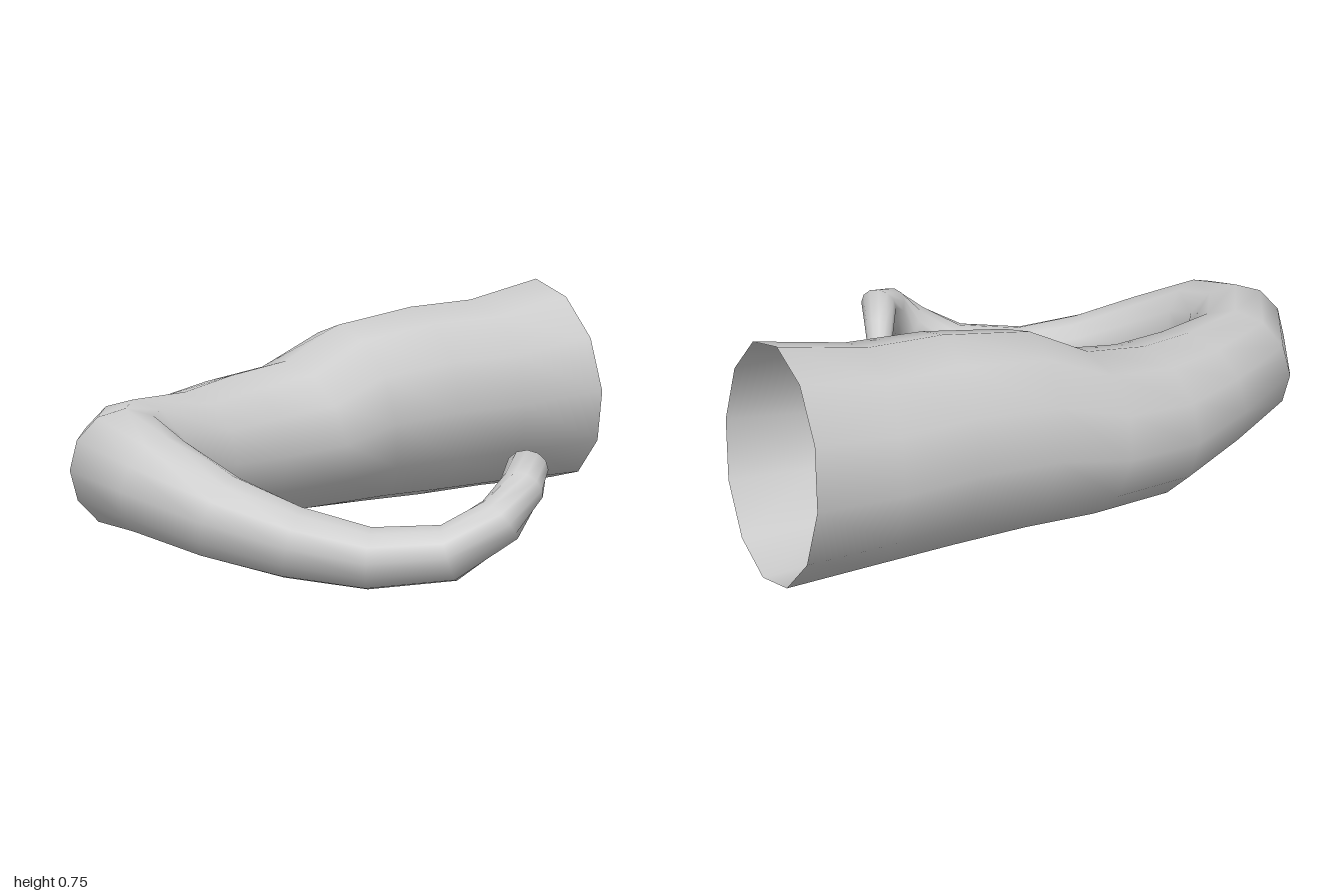
import * as THREE from 'three';

const SIDES = 12;

// Rings from the open root to the tip:
// outer edge x, z, inner edge x, z, centre height, vertical radius
const RINGS = [
  [0.93, -0.89, 0.97, -0.17, 0.393, 0.355],
  [0.65, -0.83, 0.67, -0.165, 0.365, 0.325],
  [0.40, -0.77, 0.42, -0.16, 0.357, 0.323],
  [0.13, -0.725, 0.18, -0.155, 0.335, 0.305],
  [-0.12, -0.685, 0.0, -0.15, 0.28, 0.253],
  [-0.38, -0.615, -0.22, -0.13, 0.262, 0.238],
  [-0.62, -0.46, -0.43, -0.05, 0.265, 0.208],
  [-0.87, -0.285, -0.62, 0.0, 0.282, 0.195],
  [-1.0, 0.0, -0.675, 0.09, 0.298, 0.184],
  [-0.95, 0.285, -0.675, 0.2, 0.275, 0.155],
  [-0.78, 0.49, -0.6, 0.34, 0.202, 0.13],
  [-0.58, 0.63, -0.46, 0.465, 0.135, 0.108],
  [-0.38, 0.74, -0.28, 0.59, 0.092, 0.092],
  [-0.17, 0.84, -0.08, 0.695, 0.108, 0.085],
  [0.01, 0.885, 0.03, 0.735, 0.2, 0.075],
  [0.14, 0.845, 0.07, 0.73, 0.285, 0.066],
  [0.21, 0.76, 0.12, 0.665, 0.325, 0.055],
  [0.245, 0.63, 0.155, 0.595, 0.285, 0.046],
  [0.285, 0.45, 0.245, 0.43, 0.137, 0.022],
];

export function createModel() {
  const group = new THREE.Group();
  const material = new THREE.MeshStandardMaterial({ color: 0xcccccc, side: THREE.DoubleSide });
  const centres = RINGS.map(([ox, oz, ix, iz, y]) => new THREE.Vector3((ox + ix) / 2, y, (oz + iz) / 2));
  const last = RINGS.length - 1;

  // Elliptical cross-sections, each standing square to the spine
  const points = [];
  RINGS.forEach(([ox, oz, ix, iz, , radius], i) => {
    const tangent = centres[Math.min(i + 1, last)].clone().sub(centres[Math.max(i - 1, 0)]);
    const across = new THREE.Vector3((ox - ix) / 2, 0, (oz - iz) / 2);
    const up = across.clone().cross(tangent).setLength(radius);
    for (let j = 0; j < SIDES; j++) {
      const a = (j / SIDES) * Math.PI * 2;
      points.push(centres[i].clone().addScaledVector(across, Math.cos(a)).addScaledVector(up, Math.sin(a)));
    }
  });

  // Skin between neighbouring rings
  const index = [];
  for (let i = 0; i < last; i++) {
    for (let j = 0; j < SIDES; j++) {
      const k = (j + 1) % SIDES;
      const a = i * SIDES + j, b = a + SIDES, c = i * SIDES + k, d = c + SIDES;
      index.push(a, b, c, c, b, d);
    }
  }
  const skin = new THREE.BufferGeometry().setFromPoints(points);
  skin.setIndex(index);
  skin.computeVertexNormals();
  const tentacle = new THREE.Mesh(skin, material);
  tentacle.name = 'tentacle';
  group.add(tentacle);

  // Small flat cap closing the tip
  const capIndex = [];
  for (let j = 1; j < SIDES - 1; j++) capIndex.push(0, j + 1, j);
  const cap = new THREE.BufferGeometry().setFromPoints(points.slice(last * SIDES));
  cap.setIndex(capIndex);
  cap.computeVertexNormals();
  const tip = new THREE.Mesh(cap, material);
  tip.name = 'tipCap';
  group.add(tip);

  return group;
}
